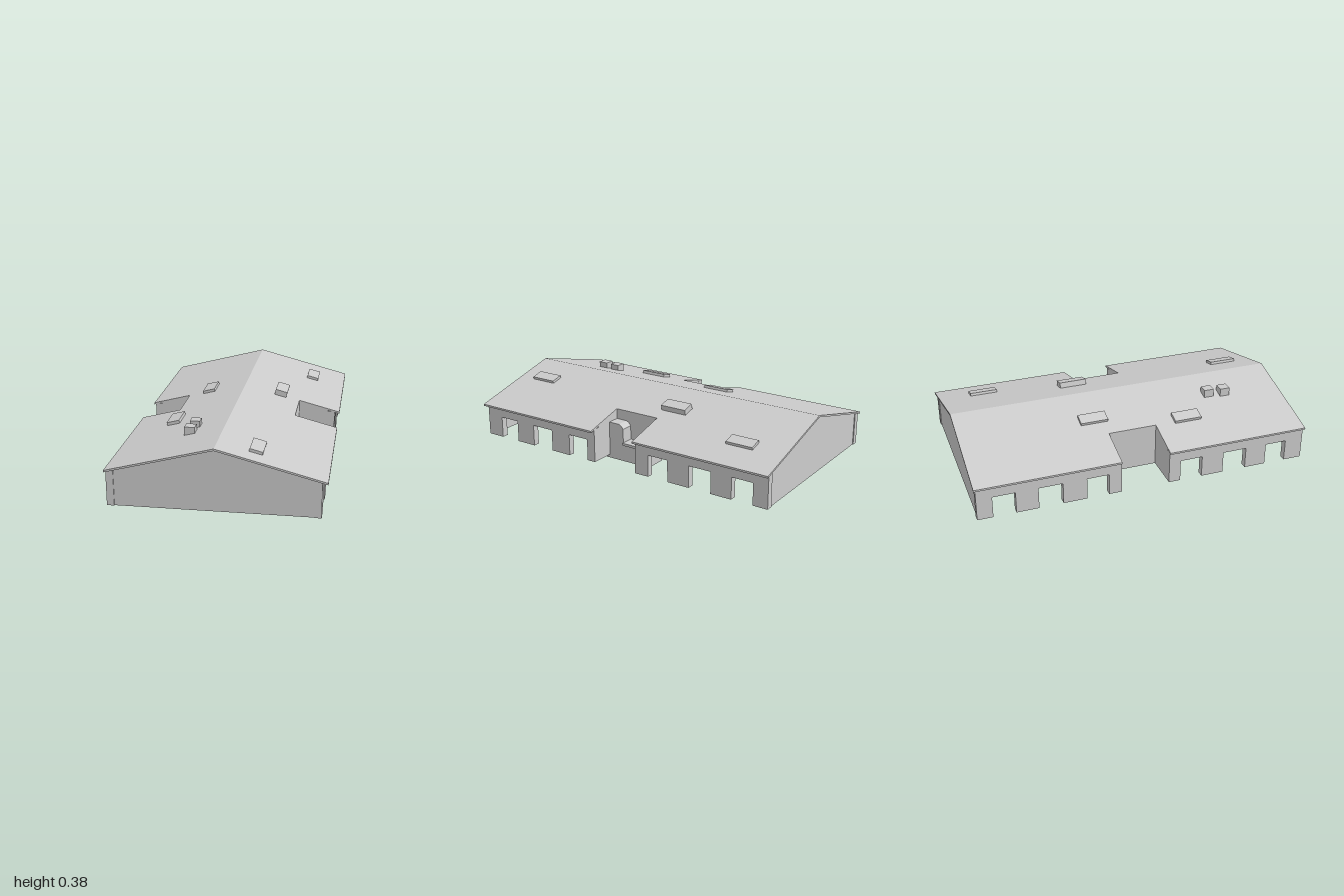
import * as THREE from 'three';

const RIDGE = 0.375, SLOPE = 0.26, THICK = 0.011, BASE = 0.02;
const roofY = (x) => RIDGE - SLOPE * Math.abs(x);

// Notches in the two long sides: outer limits in z and the depth they reach in x
const SIDES = [
  { name: 'left', s: 1, wall: [0.52, 0.56], inner: 0.34, z0: -0.14, z1: 0.15 },
  { name: 'right', s: -1, wall: [0.54, 0.58], inner: 0.36, z0: -0.155, z1: 0.135 },
];
// Openings along z, the same on both long walls
const OPENINGS = [[-0.9, -0.77], [-0.64, -0.5], [-0.36, -0.23], [0.205, 0.34], [0.475, 0.62], [0.75, 0.88]];

export function createModel() {
  const group = new THREE.Group();
  const material = new THREE.MeshStandardMaterial({ color: 0xcccccc, flatShading: true, side: THREE.DoubleSide });

  const add = (name, geometry) => {
    const mesh = new THREE.Mesh(geometry, material);
    mesh.name = name;
    group.add(mesh);
    return mesh;
  };
  const extrude = (points, depth) => new THREE.ExtrudeGeometry(
    new THREE.Shape(points.map(([x, y]) => new THREE.Vector2(x, y))), { depth, bevelEnabled: false });
  const box = (name, x0, x1, y0, y1, z0, z1) =>
    add(name, new THREE.BoxGeometry(x1 - x0, y1 - y0, z1 - z0))
      .position.set((x0 + x1) / 2, (y0 + y1) / 2, (z0 + z1) / 2);

  // Wall across the building, its top following the roof
  const crossWall = (name, x0, x1, z0, z1) => {
    const top = (x) => [x, roofY(x) - THICK + 0.003];
    const points = [[x0, BASE], [x1, BASE], top(x1)];
    if (x0 < 0 && x1 > 0) points.push(top(0));
    points.push(top(x0));
    add(name, extrude(points, z1 - z0).translate(0, 0, z0));
  };

  // Wall along z, drawn in (z, y) and extruded from x0 to x1
  const alongZ = (name, points, x0, x1) =>
    add(name, extrude(points.map(([z, y]) => [-z, y]), x1 - x0).rotateY(Math.PI / 2).translate(x0, 0, 0));

  for (const { name, s, wall, inner, z0, z1 } of SIDES) {
    // Roof slope: notched outline laid flat, then sheared down from the ridge
    const outline = [[0, -1], [0.59, -1], [0.59, z0], [inner, z0], [inner, z1], [0.59, z1], [0.59, 1], [0, 1]];
    const roof = extrude(outline.map(([x, z]) => [s * x, -z]), THICK).rotateX(-Math.PI / 2);
    const p = roof.attributes.position;
    for (let i = 0; i < p.count; i++) p.setY(i, p.getY(i) - THICK + roofY(p.getX(i)));
    roof.computeVertexNormals();
    add(name + 'RoofSlope', roof);

    const [xa, xb] = s > 0 ? wall : [-wall[1], -wall[0]];
    const top = roofY(wall[1]) - THICK + 0.005;

    // Long walls with openings cut up from the bottom edge
    for (const [from, to, part] of [[-0.99, z0, 'Back'], [z1, 0.99, 'Front']]) {
      const points = [[from, BASE]];
      for (const [a, b] of OPENINGS) {
        if (a > from && b < to) points.push([a, BASE], [a, 0.15], [b, 0.15], [b, BASE]);
      }
      points.push([to, BASE], [to, top], [from, top]);
      alongZ(name + part + 'SideWall', points, xa, xb);
    }

    // Walls of the notch
    const [na, nb] = s > 0 ? [inner, wall[0]] : [-wall[0], -inner];
    crossWall(name + 'NotchBackWall', na, nb, z0 - 0.02, z0);
    crossWall(name + 'NotchFrontWall', na, nb, z1, z1 + 0.02);
    const [ra, rb] = s > 0 ? [inner - 0.02, inner] : [-inner, -inner + 0.02];
    box(name + 'NotchInnerWall', ra, rb, BASE, roofY(inner) - 0.004, z0 - 0.02, z1 + 0.02);
  }

  // Gable walls, set in slightly from the ends of the long walls
  crossWall('frontGableWall', -0.54, 0.52, 0.965, 0.985);
  crossWall('backGableWall', -0.54, 0.52, -0.985, -0.965);

  // Stepped block standing in the left notch
  alongZ('entranceBlock', [[0.175, 0], [-0.075, 0], [-0.075, 0.1], [0.05, 0.1], [0.05, 0.2],
    [0.065, 0.218], [0.08, 0.225], [0.15, 0.225], [0.175, 0.2]], 0.305, 0.415);
  box('entranceLedge', 0.34, 0.422, 0.1, 0.115, -0.08, 0.05);

  // Roof units lying on the slope: x centre, z centre, height above the roof
  const units = [[0.382, -0.73, 0.016], [0.222, -0.2, 0.033], [0.203, 0.81, 0.016],
    [-0.228, -0.21, 0.016], [-0.338, 0.335, 0.018]];
  const tilt = Math.atan(SLOPE);
  for (const [x, z, rise] of units) {
    const sunk = 0.03;
    const unit = add('roofUnit', new THREE.BoxGeometry(0.075, rise + sunk, 0.165).translate(0, (rise - sunk) / 2, 0));
    unit.position.set(x, roofY(x), z);
    unit.rotation.z = -Math.sign(x) * tilt;
  }

  // Small upright vents
  box('roofVent', -0.21, -0.153, 0.3, 0.368, 0.51, 0.57);
  box('roofVent', -0.222, -0.163, 0.3, 0.366, 0.61, 0.67);

  return group;
}
